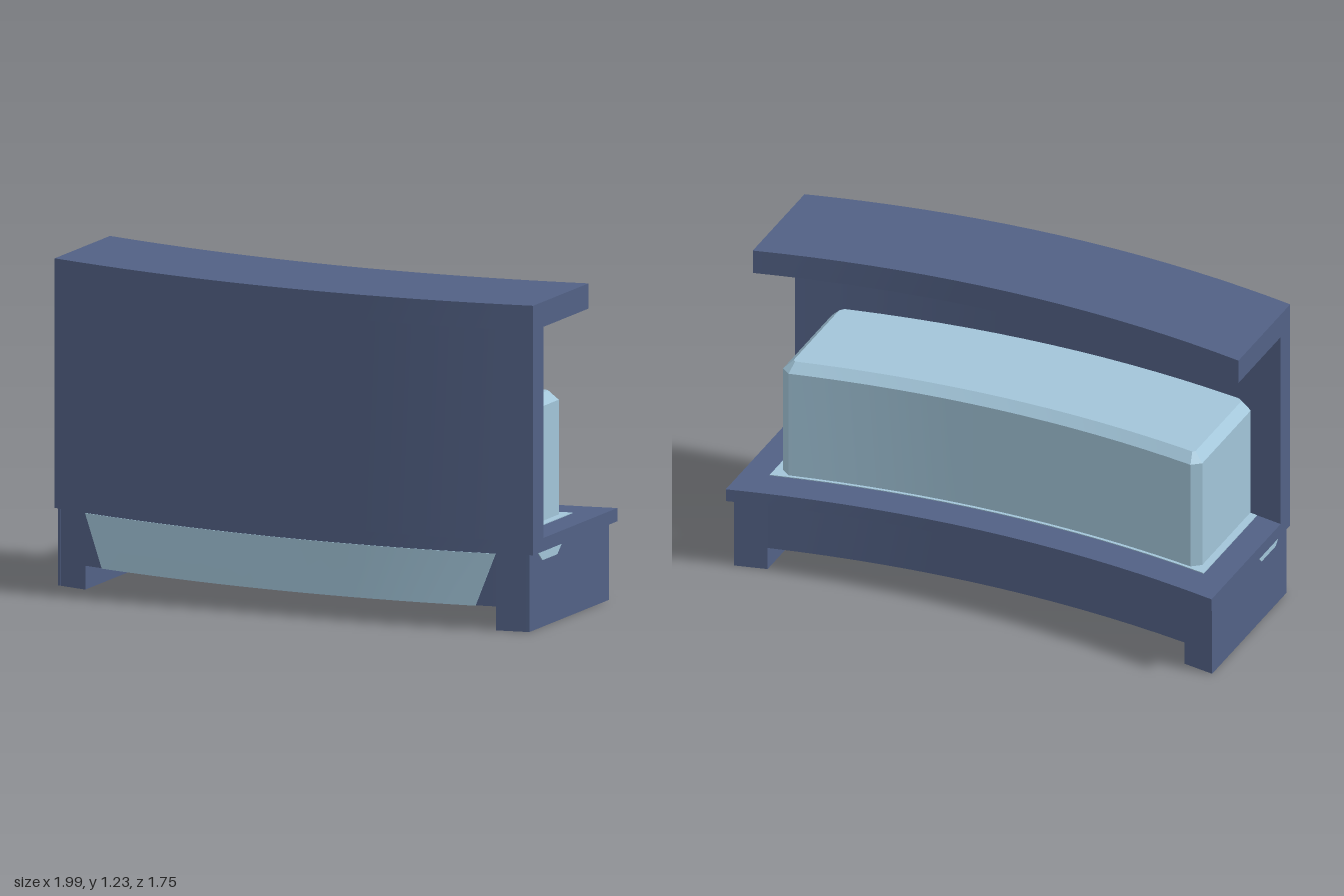
import * as THREE from 'three';
import { toCreasedNormals } from 'three/addons/utils/BufferGeometryUtils.js';

const HALF = 0.985, SAG = 0.113;
const bulge = (u) => SAG * (1 - (u / HALF) ** 2);

export function createModel() {
  const navy = new THREE.MeshStandardMaterial({ color: 0x526185 });
  navy.name = 'navy';
  const paleBlue = new THREE.MeshStandardMaterial({ color: 0xa2c5d9 });
  paleBlue.name = 'paleBlue';

  const model = new THREE.Group();
  model.name = 'curvedCounter';

  // Box bowed along its length; z is given at the ends, taper narrows its lower edge
  function bent(name, material, [u0, u1], [y0, y1], [v0, v1], taperX = 1, taperZ = 1) {
    const segments = Math.max(1, Math.round((u1 - u0) * 9));
    const geo = new THREE.BoxGeometry(u1 - u0, y1 - y0, v1 - v0, segments, 1, 1);
    const p = geo.attributes.position;
    for (let i = 0; i < p.count; i++) {
      const low = p.getY(i) < 0;
      const x = p.getX(i) * (low ? taperX : 1) + (u0 + u1) / 2;
      const z = p.getZ(i) * (low ? taperZ : 1) + (v0 + v1) / 2;
      p.setXYZ(i, x, p.getY(i) + (y0 + y1) / 2, z + bulge(x));
    }
    geo.computeVertexNormals();
    const mesh = new THREE.Mesh(geo, material);
    mesh.name = name;
    model.add(mesh);
  }

  // Main shell: shelf, front wall and canopy
  const full = [-HALF, HALF];
  bent('shelf', navy, full, [0.29, 0.34], [-0.35, 0.35]);
  bent('frontWall', navy, full, [0.34, 1.135], [0.265, 0.35]);
  bent('canopy', navy, full, [1.135, 1.23], [-0.11, 0.35]);

  // Hollow base: thin front and back aprons, glowing panel and ceiling
  const T = 0.012, IN = 0.845, OUT = 0.97, BACK = -0.315, FRONT = 0.348;
  bent('frontApron', navy, [-IN, IN], [0.09, 0.29], [FRONT - T, FRONT]);
  bent('backApron', navy, [-IN, IN], [0.09, 0.29], [BACK, BACK + T]);
  bent('frontGlowPanel', paleBlue, [-IN, IN], [0.089, 0.289], [FRONT - T - 0.003, FRONT + 0.003], 0.91);
  bent('baseCeiling', paleBlue, [-OUT + T, OUT - T], [0.284, 0.29], [BACK + T, FRONT - T]);

  // Legs: open-bottomed sleeves at both ends, with a small glow on the outside
  for (const s of [-1, 1]) {
    const span = (a, b) => (s > 0 ? [a, b] : [-b, -a]);
    bent('legOuterWall', navy, span(OUT - T, OUT), [0, 0.29], [BACK, FRONT]);
    bent('legInnerWall', navy, span(IN, IN + T), [0, 0.29], [BACK, FRONT]);
    bent('legFront', navy, span(IN, OUT), [0, 0.29], [FRONT - T, FRONT]);
    bent('legBack', navy, span(IN, OUT), [0, 0.29], [BACK, BACK + T]);
    bent('legGlow', paleBlue, span(OUT - 0.001, OUT + 0.003), [0.252, 0.29], [0.08, 0.285], 1, 0.6);
  }

  // Display block: bowed footprint with chamfered corners and top edge
  const L = 0.85, C = 0.035, V0 = -0.2, V1 = 0.305, N = 16;
  const pts = [];
  for (let i = 0; i <= N; i++) {
    const u = (L - C) * (2 * i / N - 1);
    pts.push(new THREE.Vector2(u, -(V1 + bulge(u))));
  }
  pts.push(new THREE.Vector2(L, -(V1 - C + bulge(L))), new THREE.Vector2(L, -(V0 + C + bulge(L))));
  for (let i = N; i >= 0; i--) {
    const u = (L - C) * (2 * i / N - 1);
    pts.push(new THREE.Vector2(u, -(V0 + bulge(u))));
  }
  pts.push(new THREE.Vector2(-L, -(V0 + C + bulge(L))), new THREE.Vector2(-L, -(V1 - C + bulge(L))));
  const blockGeo = new THREE.ExtrudeGeometry(new THREE.Shape(pts), {
    depth: 0.81 - 0.3 - 2 * C, bevelEnabled: true, bevelSegments: 1,
    bevelThickness: C, bevelSize: C, bevelOffset: -C,
  });
  blockGeo.rotateX(-Math.PI / 2).translate(0, 0.3 + C, 0);
  const block = new THREE.Mesh(toCreasedNormals(blockGeo, 0.3), paleBlue);
  block.name = 'displayBlock';
  model.add(block);

  // Pale glow on the shelf around the block
  bent('shelfGlow', paleBlue, [-0.88, 0.88], [0.339, 0.343], [-0.212, 0.262]);

  // Three round lights under the canopy
  for (const u of [-0.435, 0, 0.435]) {
    const lamp = new THREE.Mesh(new THREE.CylinderGeometry(0.033, 0.033, 0.008, 20), paleBlue);
    lamp.name = 'canopyLight';
    lamp.position.set(u, 1.133, 0.08 + bulge(u));
    model.add(lamp);
  }

  model.rotation.y = -0.649;
  const root = new THREE.Group();
  root.name = 'counter';
  root.add(model);
  return root;
}
